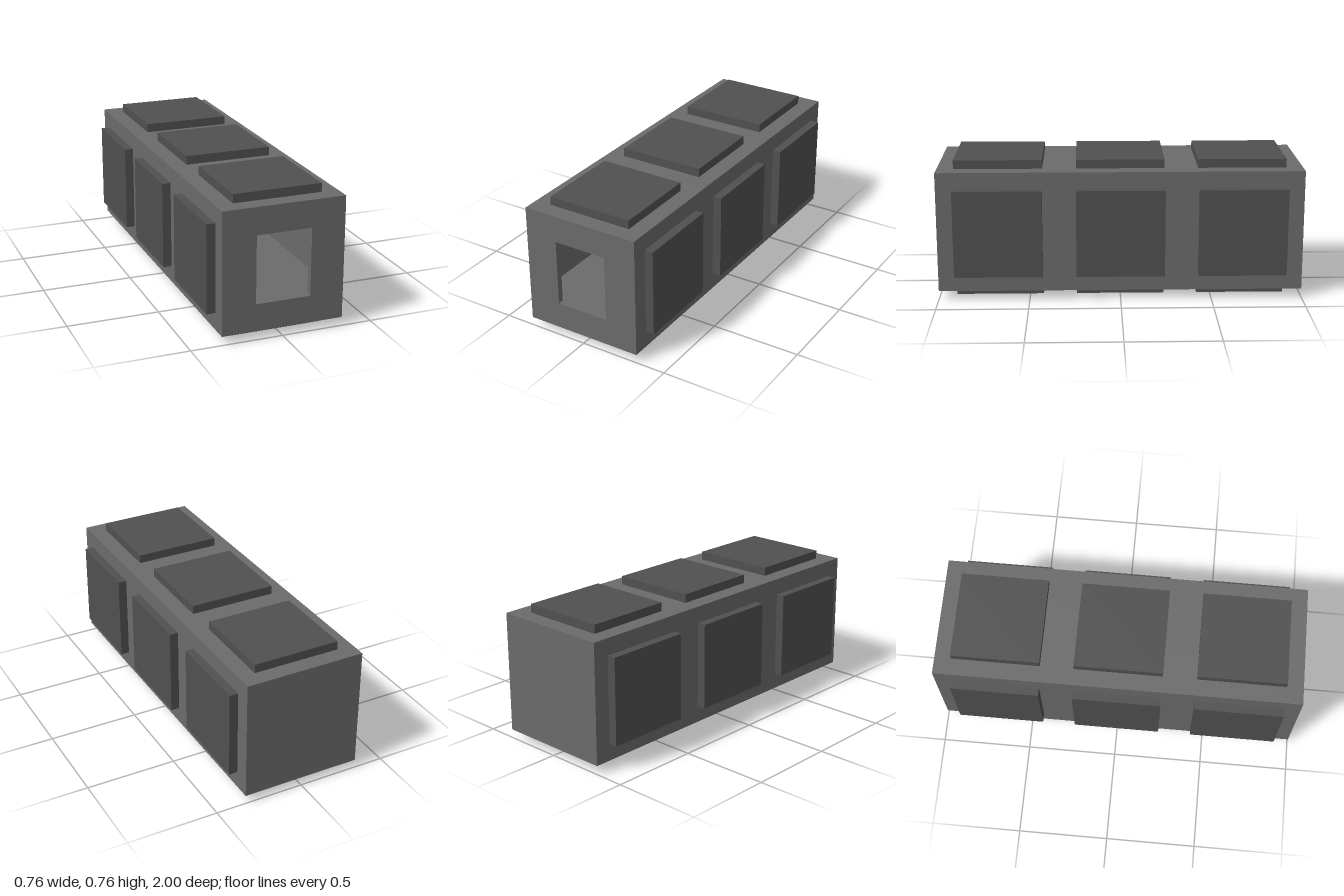
import * as THREE from 'three';

const WIDTH = 0.667, LENGTH = 2, MID_Y = 0.383;
const WALL = 0.033, OPEN_W = 0.3, OPEN_H = 0.37;
const PAD = 0.483, PAD_DEPTH = 0.048;

// Box that keeps only some faces, numbered +x, -x, +y, -y, +z, -z
function openBox(w, h, d, faces) {
  const geo = new THREE.BoxGeometry(w, h, d);
  const index = Array.from(geo.index.array);
  geo.setIndex(faces.flatMap((f) => index.slice(f * 6, f * 6 + 6)));
  geo.clearGroups();
  return geo;
}

// Turn a box inside out so that it shows from within
function insideOut(geo) {
  geo.scale(-1, 1, 1);
  geo.computeVertexNormals();
  return geo;
}

function rectangle(target, w, h) {
  target.moveTo(-w / 2, -h / 2);
  target.lineTo(w / 2, -h / 2);
  target.lineTo(w / 2, h / 2);
  target.lineTo(-w / 2, h / 2);
  target.closePath();
  return target;
}

export function createModel() {
  const model = new THREE.Group();
  model.name = 'paddedBeam';
  model.position.y = MID_Y;

  const bodyMat = new THREE.MeshStandardMaterial({ color: 0x6b6b6b });
  const padMat = new THREE.MeshStandardMaterial({ color: 0x505050 });
  const add = (name, geo, mat, x = 0, y = 0, z = 0) => {
    const mesh = new THREE.Mesh(geo, mat);
    mesh.name = name;
    mesh.position.set(x, y, z);
    model.add(mesh);
    return mesh;
  };

  // Outer shell and the front wall with its opening
  add('bodyShell', openBox(WIDTH, WIDTH, LENGTH, [0, 1, 2, 3, 5]), bodyMat);
  const front = rectangle(new THREE.Shape(), WIDTH, WIDTH);
  front.holes.push(rectangle(new THREE.Path(), OPEN_W, OPEN_H));
  add('frontWall', new THREE.ShapeGeometry(front), bodyMat, 0, 0, LENGTH / 2);

  // Opening edges, then the wider chamber behind them
  const chamberW = WIDTH - 2 * WALL, chamberL = LENGTH - 2 * WALL;
  add('openingEdges', insideOut(openBox(OPEN_W, OPEN_H, WALL, [0, 1, 2, 3])),
    bodyMat, 0, 0, (LENGTH - WALL) / 2);
  add('chamber', insideOut(openBox(chamberW, OPEN_H, chamberL, [0, 1, 2, 3, 5])), bodyMat);
  const cheekW = (chamberW - OPEN_W) / 2;
  for (const side of [-1, 1]) {
    const cheek = add('chamberFrontCheek', new THREE.PlaneGeometry(cheekW, OPEN_H), bodyMat,
      side * (OPEN_W + cheekW) / 2, 0, chamberL / 2);
    cheek.rotation.y = Math.PI;
  }

  // Three square pads on each of the four long sides
  const padGeo = new THREE.BoxGeometry(PAD, PAD_DEPTH, PAD);
  const reach = (WIDTH + PAD_DEPTH) / 2;
  ['topPad', 'leftPad', 'bottomPad', 'rightPad'].forEach((name, i) => {
    const angle = i * Math.PI / 2;
    for (const z of [-0.667, 0, 0.667]) {
      const pad = add(name, padGeo, padMat, Math.sin(angle) * reach, Math.cos(angle) * reach, z);
      pad.rotation.z = -angle;
    }
  });

  return model;
}
